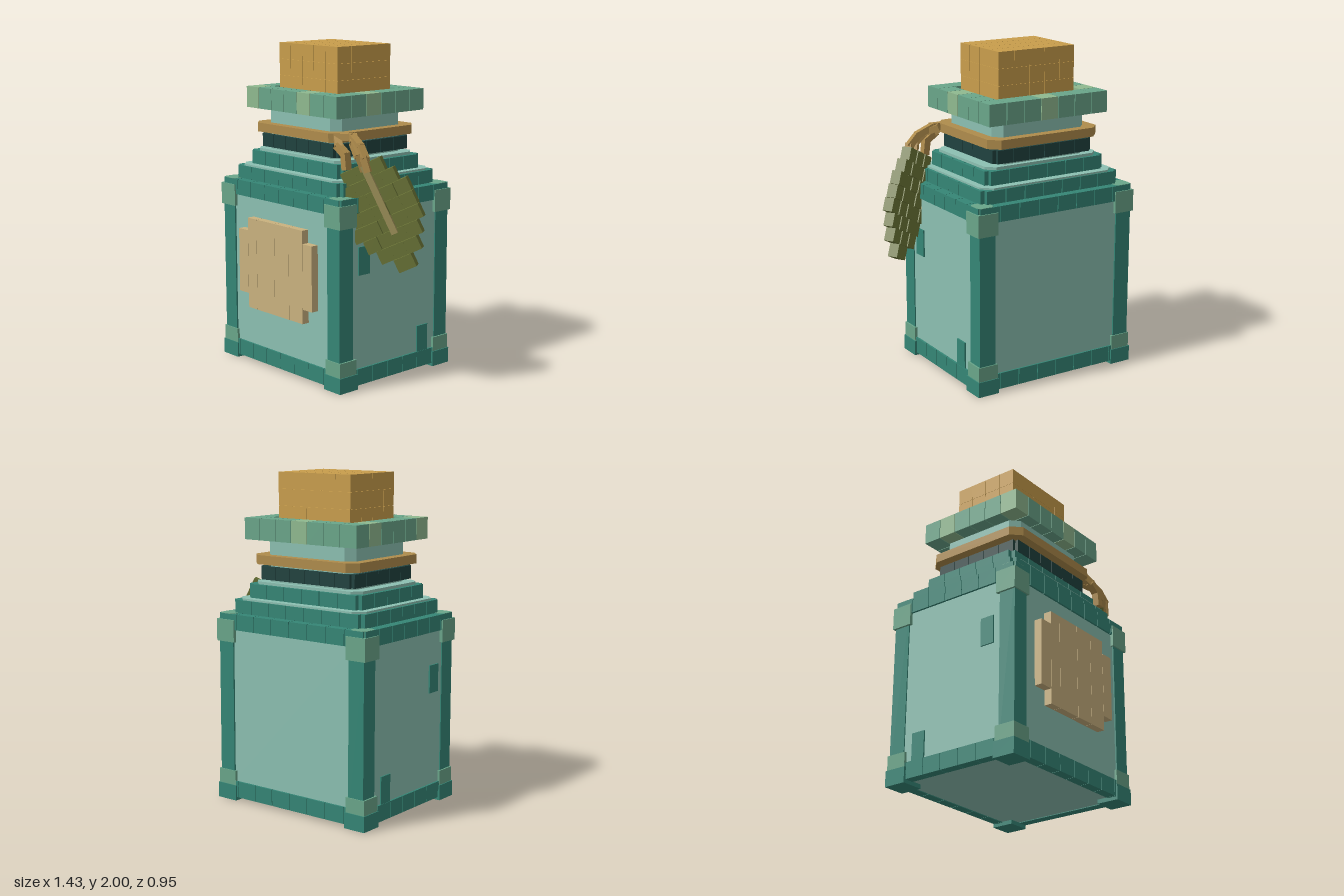
import * as THREE from 'three';

const mat = (name, color) => Object.assign(new THREE.MeshStandardMaterial({ color }), { name });
const M = {
  glass: mat('pale glass', 0x8cc0b2),
  teal: mat('teal trim', 0x358676),
  dark: mat('dark collar', 0x20423f),
  green: mat('sea green', 0x6aa68a),
  pale: mat('pale green', 0x90ba90),
  cork: mat('cork', 0xc99e4c),
  label: mat('paper label', 0xcab27f),
  twine: mat('twine', 0xaf8c4c),
  leaf: mat('leaf olive', 0x6c7637),
  rib: mat('leaf rib', 0xa0935a),
};

// Box given by its min and max corners
function block(parent, name, m, [x0, y0, z0], [x1, y1, z1]) {
  const mesh = new THREE.Mesh(new THREE.BoxGeometry(x1 - x0, y1 - y0, z1 - z0), m);
  mesh.position.set((x0 + x1) / 2, (y0 + y1) / 2, (z0 + z1) / 2);
  mesh.name = name;
  parent.add(mesh);
  return mesh;
}

function group(parent, name) {
  const g = new THREE.Group();
  g.name = name;
  parent.add(g);
  return g;
}

// Rectangle with cut corners
function octagon(hx, hz, c, Type = THREE.Shape) {
  return new Type([[hx, hz - c], [hx - c, hz], [c - hx, hz], [-hx, hz - c],
    [-hx, c - hz], [c - hx, -hz], [hx - c, -hz], [hx, c - hz]].map(p => new THREE.Vector2(...p)));
}

// Upright prism with cut corners, optionally hollow
function prism(parent, name, m, hx, hz, c, y0, y1, wall = 0) {
  const s = octagon(hx, hz, c);
  if (wall) s.holes.push(octagon(hx - wall, hz - wall, c * 0.7, THREE.Path));
  const geo = new THREE.ExtrudeGeometry(s, { depth: y1 - y0, bevelEnabled: false });
  geo.rotateX(-Math.PI / 2).translate(0, y0, 0);
  const mesh = new THREE.Mesh(geo, m);
  mesh.name = name;
  parent.add(mesh);
  return mesh;
}

// Rectangular course of blocks with notched corners
function course(parent, name, m, hx, hz, y0, y1, t, nx, nz, notch) {
  const g = group(parent, name), gap = 0.002;
  const w = 2 * (hx - notch) / nx, d = 2 * (hz - notch) / nz;
  for (const s of [-1, 1]) {
    for (let i = 0; i < nx; i++) {
      const x = notch - hx + i * w, z = s * (hz - t / 2);
      block(g, 'trimBlock', m, [x + gap, y0, z - t / 2], [x + w - gap, y1, z + t / 2]);
    }
    for (let i = 0; i < nz; i++) {
      const z = notch - hz + i * d, x = s * (hx - t / 2);
      block(g, 'trimBlock', m, [x - t / 2, y0, z + gap], [x + t / 2, y1, z + d - gap]);
    }
  }
}

function buildBottle(root) {
  const b = group(root, 'bottle');
  b.position.set(-0.153, 0, -0.013);
  block(b, 'glassBody', M.glass, [-0.535, 0.025, -0.44], [0.535, 1.14, 0.44]);
  course(b, 'baseCourse', M.teal, 0.548, 0.452, 0.02, 0.12, 0.06, 8, 7, 0.01);
  course(b, 'shoulderCourse', M.teal, 0.548, 0.452, 1.06, 1.155, 0.08, 8, 7, 0.01);
  course(b, 'secondCourse', M.teal, 0.487, 0.397, 1.155, 1.235, 0.08, 7, 6, 0.025);
  course(b, 'thirdCourse', M.teal, 0.422, 0.335, 1.245, 1.33, 0.08, 6, 5, 0.025);
  course(b, 'darkCollar', M.dark, 0.35, 0.305, 1.36, 1.44, 0.06, 6, 5, 0.02);

  // Stepped glass shoulders and neck
  prism(b, 'lowerShoulderGlass', M.glass, 0.468, 0.388, 0.06, 1.1, 1.246);
  prism(b, 'upperShoulderGlass', M.glass, 0.395, 0.315, 0.05, 1.2, 1.347);
  prism(b, 'neck', M.glass, 0.324, 0.282, 0.05, 1.3, 1.612);
  prism(b, 'neckOpening', M.dark, 0.288, 0.24, 0.06, 1.612, 1.617);
  prism(b, 'twineRing', M.twine, 0.388, 0.343, 0.06, 1.455, 1.51, 0.065);

  // Corner posts with feet and caps
  for (const sx of [-1, 1]) for (const sz of [-1, 1]) {
    const g = group(b, 'cornerPost');
    const post = (name, m, hx, hz, size, y0, y1) => {
      const x = sx * (hx - size / 2), z = sz * (hz - size / 2), h = size / 2;
      block(g, name, m, [x - h, y0, z - h], [x + h, y1, z + h]);
    };
    post('post', M.teal, 0.542, 0.45, 0.107, 0.05, 1.1);
    post('foot', M.teal, 0.558, 0.461, 0.142, 0, 0.095);
    post('footBand', M.green, 0.552, 0.456, 0.13, 0.095, 0.185);
    post('cap', M.green, 0.556, 0.46, 0.135, 0.985, 1.12);
    const knob = prism(g, 'capKnob', M.green, 0.055, 0.055, 0.02, 1.12, 1.157);
    knob.position.set(sx * 0.492, 0, sz * 0.396);
  }

  // Small inlaid side plates
  for (const sx of [-1, 1]) for (const [z, y, h] of [[0.255, 0.69, 0.17], [-0.235, 0.12, 0.165]]) {
    const x = sx * 0.541;
    block(b, 'sidePlate', M.teal, [x - 0.0045, y, z - 0.045], [x + 0.0045, y + h, z + 0.045]);
  }

  // Rim blocks, a few of them paler
  const rim = group(b, 'rim'), hx = 0.418, hz = 0.358, nx = 7, nz = 6;
  const w = 2 * hx / nx, d = 2 * hz / nz;
  const paleBlocks = ['3,0', '0,1', '6,3', '0,5', '4,5'];
  for (let i = 0; i < nx; i++) for (let k = 0; k < nz; k++) {
    if (i > 0 && i < nx - 1 && k > 0 && k < nz - 1) continue;
    const x = -hx + i * w, z = -hz + k * d;
    block(rim, 'rimBlock', paleBlocks.includes(`${i},${k}`) ? M.pale : M.green,
      [x + 0.002, 1.6, z + 0.002], [x + w - 0.002, 1.73, z + d - 0.002]);
  }

  // Cork of stacked cubes
  const cork = group(b, 'cork'), cw = 0.107, cd = 0.108, cy = [1.615, 1.7, 1.8, 1.9, 2];
  for (let i = 0; i < 5; i++) for (let k = 0; k < 4; k++) for (let j = 0; j < 4; j++) {
    const x = -0.267 + i * cw, z = -0.218 + k * cd;
    block(cork, 'corkCube', M.cork, [x + 0.001, cy[j] + 0.001, z + 0.001],
      [x + cw - 0.001, cy[j + 1], z + cd - 0.001]);
  }
}

// Paper label in upright strips, shorter at both ends
function buildLabel(root) {
  const g = group(root, 'label');
  const xs = [-0.5, -0.41, -0.325, -0.155, -0.02, 0.105, 0.19];
  for (let i = 0; i < 6; i++) {
    const end = i === 0 || i === 5;
    block(g, 'labelStrip', M.label, [xs[i], end ? 0.46 : 0.37, 0.425], [xs[i + 1] - 0.002, end ? 0.86 : 0.94, 0.475]);
  }
}

// Hanging leaf made of rows of blocks
function buildLeaf(root) {
  const leaf = group(root, 'leaf');
  leaf.position.set(0.49, 1.06, 0.2);
  leaf.rotation.set(0, 0.58, 0.45);
  const h = 0.083, w = 0.088;
  [3, 4, 5, 5, 5, 4, 3, 1].forEach((n, r) => {
    const y = 0.31 - (r + 0.5) * h;
    for (let i = 0; i < n; i++) {
      const x = 0.012 + (i - (n - 1) / 2) * w, z = 0.006 * ((r + i) % 3 - 1);
      const hw = n === 1 ? 0.056 : w / 2 - 0.001;
      block(leaf, 'leafBlock', M.leaf, [x - hw, y - h / 2 + 0.001, z - 0.031], [x + hw, y + h / 2 - 0.001, z + 0.031]);
    }
  });
  block(leaf, 'midrib', M.rib, [0.015, -0.13, 0.02], [0.055, 0.3, 0.046]);
}

// Twine cords of straight links between points
function buildCords(root) {
  const cords = group(root, 'cords');
  const paths = [
    [[0.18, 1.485, 0.29], [0.29, 1.495, 0.25], [0.38, 1.45, 0.27], [0.43, 1.39, 0.28], [0.45, 1.32, 0.27]],
    [[0.2, 1.485, 0.28], [0.24, 1.44, 0.31], [0.3, 1.4, 0.31], [0.31, 1.32, 0.31]],
    [[0.27, 1.49, 0.22], [0.33, 1.46, 0.27], [0.39, 1.4, 0.29], [0.41, 1.32, 0.27]],
  ];
  for (const path of paths) {
    const pts = path.map(p => new THREE.Vector3(...p));
    for (let i = 0; i < pts.length - 1; i++) {
      const link = new THREE.Mesh(new THREE.BoxGeometry(0.045, 0.04, pts[i].distanceTo(pts[i + 1]) + 0.02), M.twine);
      link.position.copy(pts[i]).lerp(pts[i + 1], 0.5);
      link.lookAt(pts[i + 1]);
      link.name = 'cordLink';
      cords.add(link);
    }
  }
}

export function createModel() {
  const root = new THREE.Group();
  root.name = 'corkedBottle';
  buildBottle(root);
  buildLabel(root);
  buildLeaf(root);
  buildCords(root);
  return root;
}
